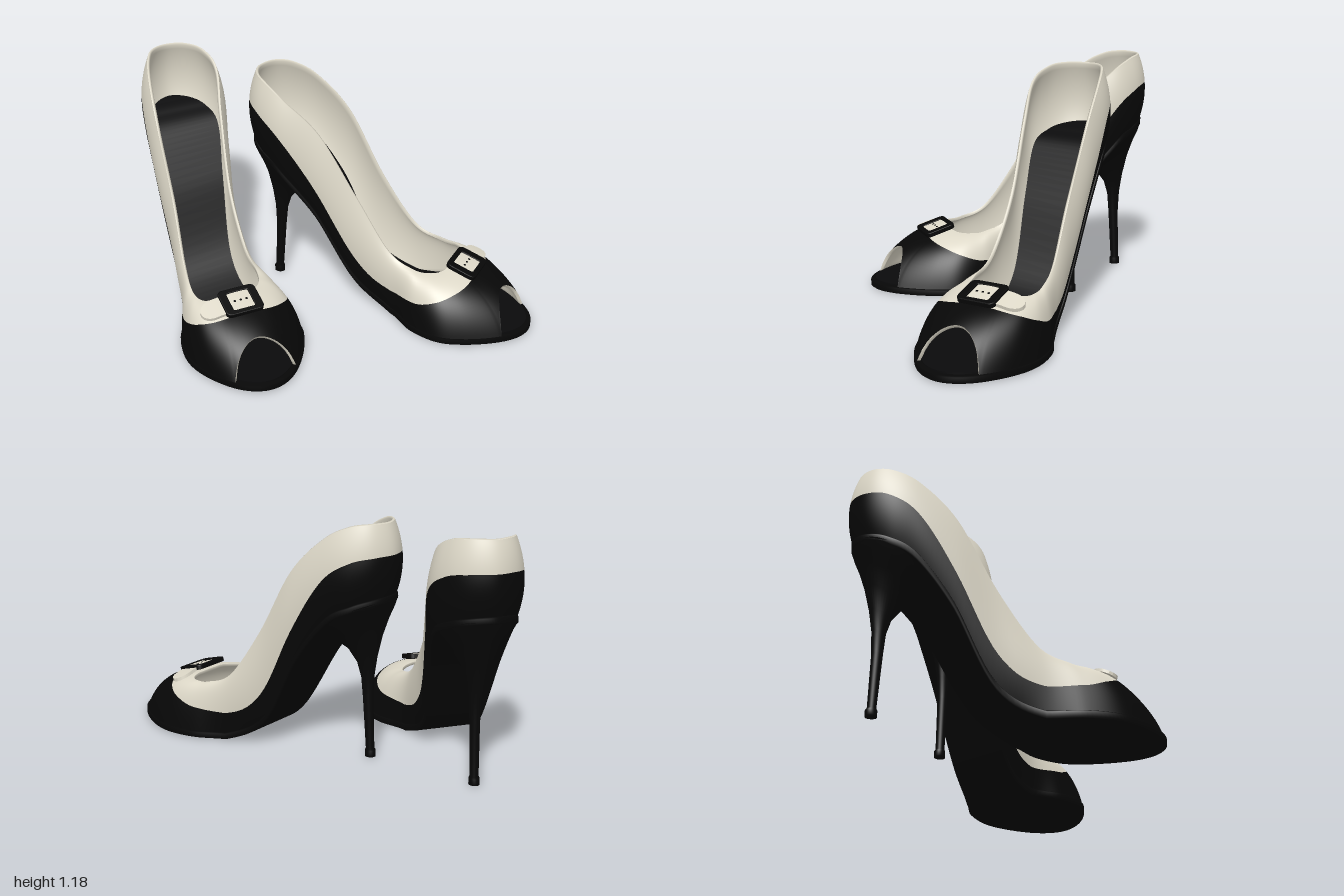
import * as THREE from 'three';

const V = (x, y, z) => new THREE.Vector3(x, y, z);
const { lerp, smoothstep } = THREE.MathUtils;
const N = 192; // points around the shoe, from heel back over the outer side to the toe and back
const black = new THREE.MeshStandardMaterial({ color: 0x070707 });
const cream = new THREE.MeshStandardMaterial({ color: 0xddd8c8 });
const insoleBlack = new THREE.MeshStandardMaterial({ color: 0x0a0a0b });
black.name = 'black leather';
cream.name = 'cream leather';
insoleBlack.name = 'insole black';

// Stations from heel to toe: [z, inner x, outer x, y]
const OUTLINE = [
  [-0.76, -0.02, -0.02, 0.80], [-0.72, -0.135, 0.085, 0.79], [-0.63, -0.215, 0.16, 0.76],
  [-0.50, -0.245, 0.197, 0.69], [-0.32, -0.193, 0.213, 0.47], [-0.12, -0.144, 0.212, 0.12],
  [0.09, -0.158, 0.255, 0], [0.25, -0.24, 0.318, 0], [0.40, -0.266, 0.339, 0],
  [0.53, -0.222, 0.308, 0], [0.66, -0.135, 0.232, 0], [0.74, -0.045, 0.145, 0], [0.768, 0.05, 0.05, 0],
];
const RIM = [
  [-0.72, -0.02, -0.02, 1.17], [-0.685, -0.115, 0.07, 1.17], [-0.60, -0.18, 0.125, 1.155],
  [-0.48, -0.205, 0.163, 1.09], [-0.31, -0.155, 0.19, 0.92], [-0.12, -0.115, 0.196, 0.60],
  [0.06, -0.115, 0.22, 0.35], [0.2, -0.115, 0.234, 0.285], [0.275, -0.095, 0.234, 0.275],
  [0.322, -0.055, 0.212, 0.275], [0.34, -0.01, 0.165, 0.28], [0.343, 0.03, 0.115, 0.28], [0.344, 0.07, 0.07, 0.28],
];
// Height share of the black part of the upper at each station
const BORDER = [0.58, 0.58, 0.57, 0.5, 0.32, 0.28, 0.28, 0.31, 0.45, 0.59, 0.7, 0.76, 0.78];

const closed = (outer, inner) =>
  new THREE.CatmullRomCurve3([...outer, ...inner.slice(1, -1).reverse()], true, 'catmullrom', 0.5);
const loopCurve = (rows) =>
  closed(rows.map(([z, , x, y]) => V(x, y, z)), rows.map(([z, x, , y]) => V(x, y, z)));
const outline = loopCurve(OUTLINE), rim = loopCurve(RIM);
const borderPts = BORDER.map((v, k) => V(v, k, 0));
const border = closed(borderPts, borderPts);
const at = (curve, i) => curve.getPoint((((i % N) + N) % N) / N);
const ring = (fn) => Array.from({ length: N }, (_, i) => fn(i));
// 0 at the heel, 1 at the ball and toe
const front = (i) => smoothstep(at(outline, i).z, -0.05, 0.25);

// Outline point pushed outwards by d and raised by h
function edge(i, d, h) {
  const p = at(outline, i), t = at(outline, i + 0.5).sub(at(outline, i - 0.5));
  const len = Math.hypot(t.x, t.z) || 1;
  return V(p.x + (d * t.z) / len, Math.max(0, p.y) + h, p.z - (d * t.x) / len);
}
const tuck = (i) => lerp(-0.028, -0.006, front(i));

// Upper surface: a curve from the sole edge (v = 0) to the opening (v = 1)
function upper(i, v) {
  const b = edge(i, tuck(i), 0.033), t = at(rim, i), f = front(i);
  const toe = smoothstep(b.z, 0.5, 0.74);
  const c = edge(i, lerp(0.03, -0.006, f), 0).lerp(t, 0.22 * f + 0.04 * toe);
  c.y = lerp(b.y, t.y, 0.5 + 0.42 * f - 0.07 * toe);
  const w = 1 - v;
  return b.multiplyScalar(w * w).addScaledVector(c, 2 * v * w).addScaledVector(t, v * v);
}
function lining(i, v) {
  const du = upper(i + 0.5, v).sub(upper(i - 0.5, v));
  const dv = upper(i, Math.min(1, v + 0.02)).sub(upper(i, Math.max(0, v - 0.02)));
  return upper(i, v).addScaledVector(dv.cross(du).normalize(), -0.015);
}
// Lower end of the upper, lifted around the open toe
function peep(i) {
  const a = Math.abs(i - N / 2) / (N / 24) / 1.7;
  return a < 1 ? 0.5 * Math.pow(1 - a * a, 0.55) : 0;
}

// Skin over closed rings of points
function skin(rings) {
  const n = rings[0].length, index = [];
  for (let r = 0; r < rings.length - 1; r++) {
    for (let i = 0; i < n; i++) {
      const a = r * n + i, b = r * n + ((i + 1) % n), c = a + n, d = b + n;
      index.push(a, c, b, b, c, d);
    }
  }
  return finish(rings.flat(), index);
}
// Sheet spanning a ring from side to side
function sheet(points, up) {
  const index = [];
  for (let i = 0; i < N / 2; i++) {
    const a = i, b = (N - i) % N, c = i + 1, d = N - i - 1;
    index.push(...(up ? [b, c, a, b, d, c] : [b, a, c, b, c, d]));
  }
  return finish(points, index);
}
function finish(points, index) {
  const g = new THREE.BufferGeometry().setFromPoints(points);
  g.setIndex(index);
  g.computeVertexNormals();
  return g;
}
const steps = (n, fn) => Array.from({ length: n + 1 }, (_, k) => fn(k / n));

// Stiletto heel: [front y, back y, front z, back z, half width]
function heelGeometry() {
  const rows = [
    [0, 0, -0.605, -0.605, 0], [0, 0, -0.578, -0.632, 0.026], [0.03, 0.03, -0.578, -0.632, 0.025],
    [0.04, 0.04, -0.583, -0.624, 0.021], [0.3, 0.3, -0.565, -0.617, 0.024], [0.4, 0.41, -0.556, -0.622, 0.029],
    [0.47, 0.51, -0.535, -0.638, 0.042], [0.53, 0.62, -0.49, -0.665, 0.07], [0.56, 0.71, -0.44, -0.695, 0.115],
    [0.572, 0.77, -0.4, -0.72, 0.155], [0.585, 0.815, -0.38, -0.732, 0.178],
  ];
  return skin(rows.map(([yF, yB, zF, zB, w]) => Array.from({ length: 40 }, (_, k) => {
    const a = (k / 40) * Math.PI * 2, q = (1 - Math.cos(a)) / 2;
    const y = lerp(yB, yF, q) + 0.035 * (w / 0.178) ** 2 * Math.sin(a) ** 2;
    return V(-0.043 + 0.018 * (w / 0.178) + w * Math.sin(a), y, lerp(zB, zF, q));
  })));
}

function roundRect(path, w, h, r) {
  const corners = [[1, 1, 0], [-1, 1, 0.5], [-1, -1, 1], [1, -1, 1.5]];
  corners.forEach(([sx, sy, a]) =>
    path.absarc(sx * (w / 2 - r), sy * (h / 2 - r), r, a * Math.PI, (a + 0.5) * Math.PI, false));
  return path;
}
const onVamp = (g) => g.rotateX(0.28).translate(0.06, 0.278, 0.41);

function buckleGeometry() {
  const shape = roundRect(new THREE.Shape(), 0.184, 0.15, 0.022);
  shape.holes.push(roundRect(new THREE.Path(), 0.118, 0.114, 0.012));
  const g = new THREE.ExtrudeGeometry(shape, {
    depth: 0.018, bevelEnabled: true, bevelSize: 0.004, bevelThickness: 0.003, bevelSegments: 2, curveSegments: 5,
  });
  return onVamp(g.rotateX(-Math.PI / 2));
}
// Strap with a rounded tail, bent over the vamp
const strapY = (x) => 0.01 - 0.8 * x * x;
function strapGeometry() {
  const g = new THREE.BoxGeometry(0.285, 0.016, 0.108, 40, 1, 4).translate(0.0575, 0, 0);
  const p = g.attributes.position;
  for (let i = 0; i < p.count; i++) {
    const x = p.getX(i), e = Math.max(0, (x - 0.14) / 0.061);
    p.setZ(i, p.getZ(i) * Math.sqrt(Math.max(0, 1 - e * e)));
    p.setY(i, p.getY(i) + strapY(x));
  }
  g.computeVertexNormals();
  return onVamp(g);
}

function makeShoe(name, side) {
  const shoe = new THREE.Group();
  shoe.name = name;
  const add = (part, g, material) => {
    if (side < 0) { // mirror and turn the faces round again
      if (!g.index) g.setIndex([...Array(g.attributes.position.count).keys()]);
      g.scale(-1, 1, 1);
      const ix = g.index.array;
      for (let k = 0; k < ix.length; k += 3) [ix[k], ix[k + 1]] = [ix[k + 1], ix[k]];
    }
    const mesh = new THREE.Mesh(g, material);
    mesh.name = part;
    shoe.add(mesh);
  };
  const vb = ring((i) => at(border, i).x);

  // Upper: black lower part, cream collar, cream lining with rounded rim
  add('upper', skin(steps(14, (k) => ring((i) => upper(i, lerp(peep(i), vb[i], k))))), black);
  add('collar', skin(steps(10, (k) => ring((i) => upper(i, lerp(vb[i], 1, k))))), cream);
  add('lining', skin([
    ring((i) => upper(i, 1)),
    ring((i) => upper(i, 1).lerp(lining(i, 1), 0.5).add(V(0, 0.007, 0))),
    ...steps(14, (k) => ring((i) => lining(i, lerp(1, peep(i), k)))),
    ring((i) => upper(i, peep(i))),
  ]), cream);

  // Sole, insole and heel
  const lip = (i) => tuck(i) + 0.006;
  add('soleEdge', skin([
    ring((i) => edge(i, lip(i) - 0.008, 0)), ring((i) => edge(i, lip(i), 0.006)),
    ring((i) => edge(i, lip(i), 0.03)), ring((i) => edge(i, lip(i) - 0.004, 0.035)),
    ring((i) => edge(i, lip(i) - 0.08, 0.037)),
  ]), black);
  add('soleBottom', sheet(ring((i) => edge(i, lip(i) - 0.008, 0)), false), black);
  const insoleRing = (drop) => ring((i) =>
    edge(i, lerp(-0.038, -0.024, front(i)), lerp(0.075, 0.043, front(i)) - drop));
  add('insole', sheet(insoleRing(0), true), insoleBlack);
  add('insoleEdge', skin([insoleRing(0.012), insoleRing(0)]), insoleBlack);
  add('heel', heelGeometry(), black);

  // Buckle and strap with punched holes
  add('buckle', buckleGeometry(), black);
  add('strap', strapGeometry(), cream);
  for (const x of [-0.03, 0, 0.03]) {
    const dot = new THREE.CylinderGeometry(0.006, 0.006, 0.004, 12).translate(x, strapY(x) + 0.0075, 0);
    add('strapHole', onVamp(dot), black);
  }
  return shoe;
}

export function createModel() {
  const model = new THREE.Group();
  model.name = 'pairOfShoes';
  const left = makeShoe('leftShoe', 1);
  left.position.set(0.334, 0, 0.272);
  left.rotation.y = 0.297;
  const right = makeShoe('rightShoe', -1);
  right.position.set(-0.316, 0, -0.28);
  right.rotation.y = -0.346;
  model.add(left, right);
  return model;
}
